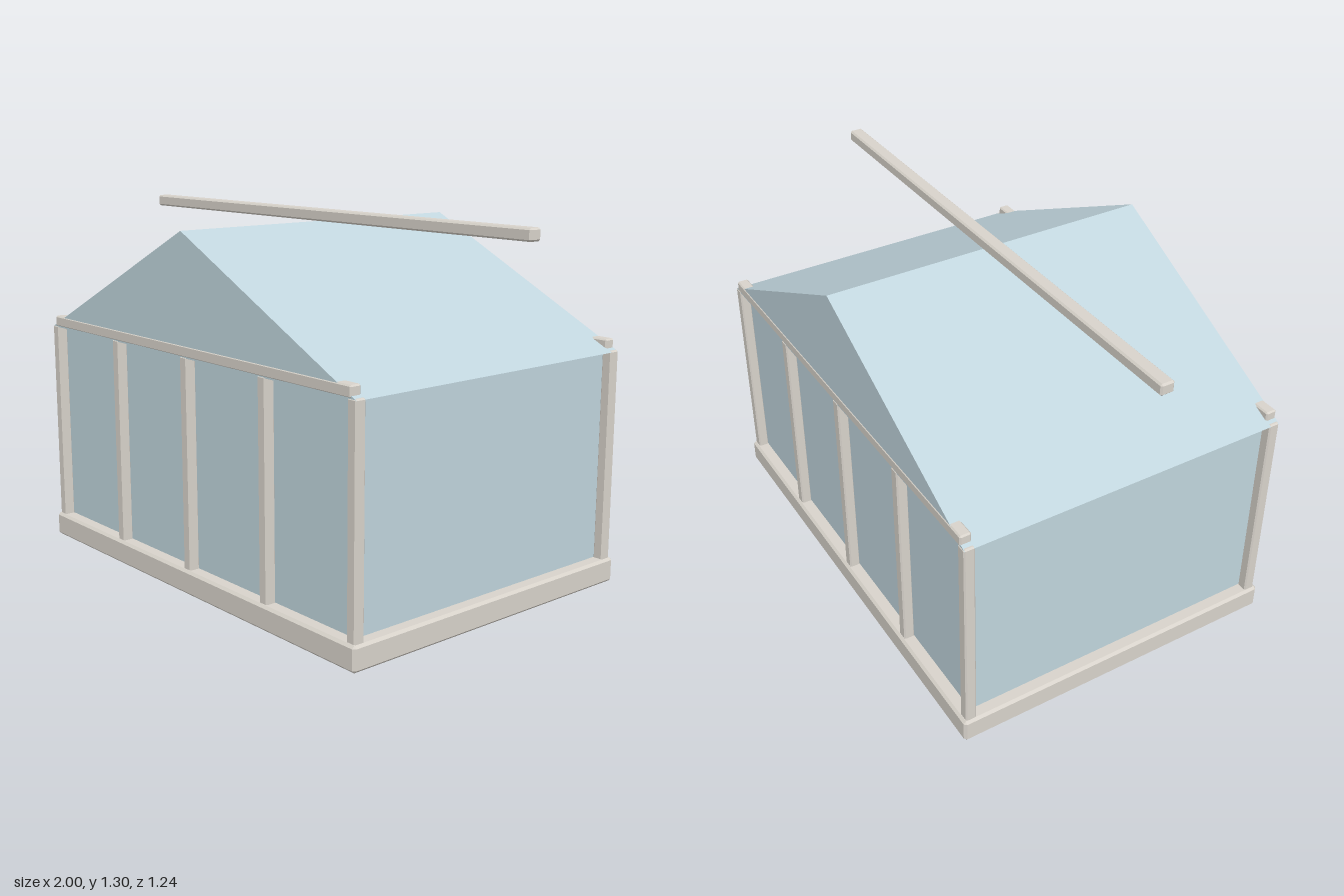
import * as THREE from 'three';
import { ConvexGeometry } from 'three/addons/geometries/ConvexGeometry.js';

const frameMat = new THREE.MeshStandardMaterial({ color: 0xd8d3cb, flatShading: true });
const glassMat = new THREE.MeshStandardMaterial({ color: 0xc0d5dd, flatShading: true });

// Box with every edge chamfered: hull of three points per corner
function chamferBox(w, h, d, c) {
  const points = [];
  for (const x of [-1, 1]) for (const y of [-1, 1]) for (const z of [-1, 1]) {
    for (const [a, b, e] of [[0, c, c], [c, 0, c], [c, c, 0]]) {
      points.push(new THREE.Vector3(x * (w / 2 - a), y * (h / 2 - b), z * (d / 2 - e)));
    }
  }
  return new ConvexGeometry(points);
}

export function createModel() {
  const model = new THREE.Group();

  const add = (name, geometry, material, x, y, z) => {
    const mesh = new THREE.Mesh(geometry, material);
    mesh.name = name;
    mesh.position.set(x, y, z);
    model.add(mesh);
  };

  // Foundation slab
  add('base', chamferBox(1.758, 0.088, 1.236, 0.009), frameMat, 0, 0.044, 0);

  // Glass walls, set back behind the posts
  add('glassWalls', new THREE.BoxGeometry(1.664, 0.76, 1.14), glassMat, 0, 0.46, 0);

  // Posts and eave beams along the front and back
  const post = chamferBox(0.04, 0.756, 0.04, 0.005);
  const beam = chamferBox(1.695, 0.04, 0.041, 0.005);
  for (const [side, z] of [['front', 0.587], ['back', -0.587]]) {
    for (let i = -2; i <= 2; i++) {
      add(side + 'Post', post, frameMat, i * 0.425, 0.46, z);
    }
    add(side + 'Beam', beam, frameMat, 0, 0.856, z);
  }

  // Glass gable roof, a closed triangular prism
  const gable = new THREE.Shape();
  gable.moveTo(-0.87, 0.833);
  gable.lineTo(0.87, 0.833);
  gable.lineTo(0, 1.258);
  gable.closePath();
  const roof = new THREE.ExtrudeGeometry(gable, { depth: 1.21, bevelEnabled: false });
  add('roof', roof, glassMat, 0, 0, -0.605);

  // Long beam lying across the ridge
  add('ridgeBeam', chamferBox(2, 0.042, 0.05, 0.006), frameMat, 0, 1.28, 0);

  return model;
}
